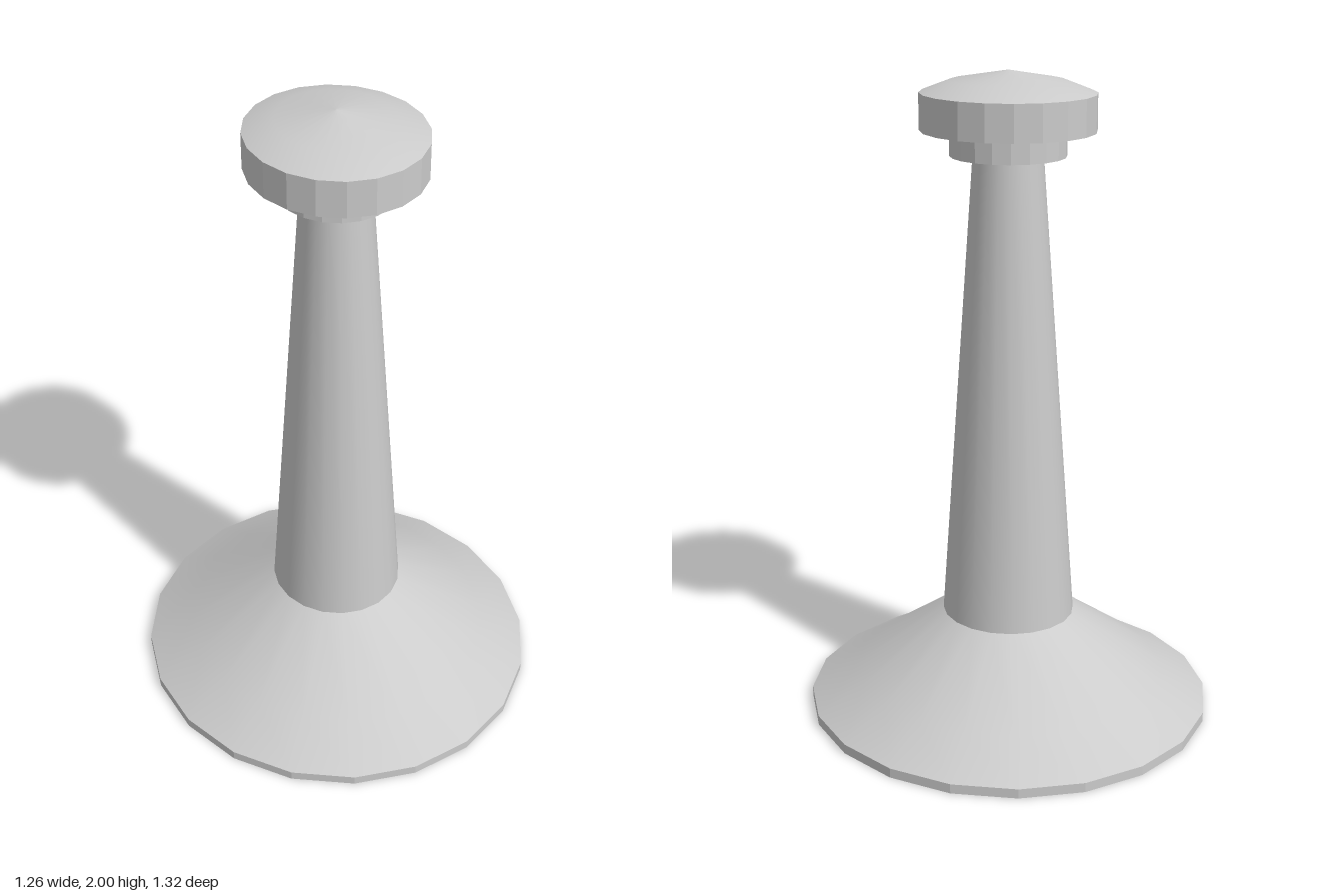
import * as THREE from 'three';

const SIDES = 20;
const smooth = new THREE.MeshStandardMaterial({ color: 0xcccccc });
const faceted = new THREE.MeshStandardMaterial({ color: 0xcccccc, flatShading: true });

export function createModel() {
  const model = new THREE.Group();

  // Turns a [radius, height] profile (bottom to top) into a slightly oval part.
  function turned(name, profile, depthRatio, material) {
    const points = profile.map(([r, y]) => new THREE.Vector2(r, y));
    const mesh = new THREE.Mesh(new THREE.LatheGeometry(points, SIDES), material);
    mesh.scale.z = depthRatio;
    mesh.name = name;
    model.add(mesh);
  }

  // Foot: flat underside and thin rim, then a flared skirt
  turned('baseRim', [[0, 0], [0.63, 0], [0.63, 0.03]], 1.045, faceted);
  turned('baseSkirt', [[0.63, 0.03], [0.485, 0.115], [0.205, 0.31]], 1.047, smooth);
  turned('baseTop', [[0.205, 0.31], [0, 0.31]], 1.05, faceted);

  // Tapered column
  turned('column', [[0.205, 0.31], [0.105, 1.75]], 1.055, smooth);

  // Collar under the cap
  turned('collar', [[0, 1.75], [0.173, 1.75], [0.173, 1.825]], 1.05, faceted);

  // Cap: faceted drum with a shallow dome
  turned('capDrum', [[0, 1.825], [0.26, 1.825], [0.26, 1.935]], 1.09, faceted);
  turned('capDome', [[0.26, 1.935], [0.17, 1.97], [0, 2]], 1.09, smooth);

  return model;
}
